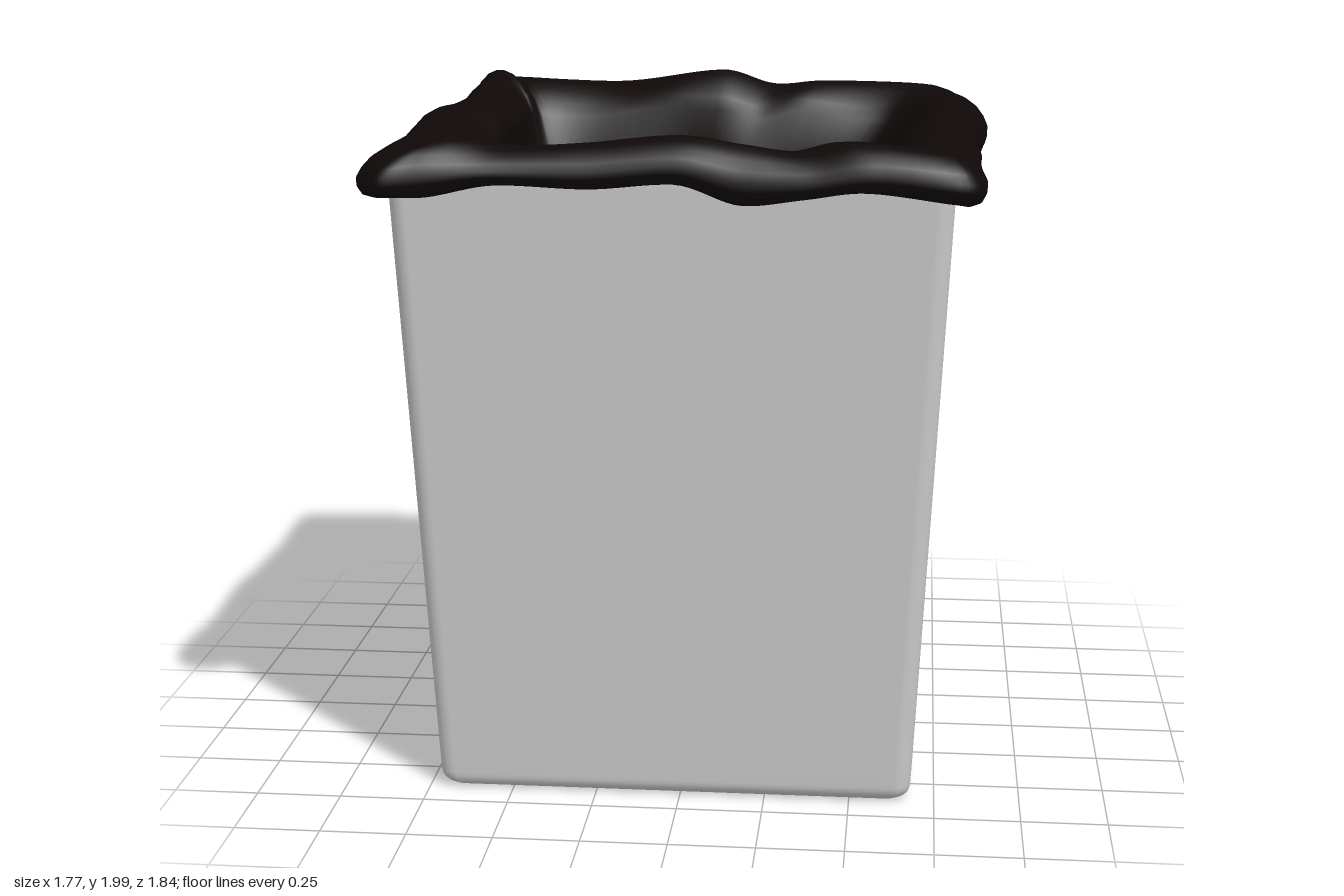
import * as THREE from 'three';

// Skins a list of closed rings (arrays of Vector3), given from first to last
function loft(rings) {
  const n = rings[0].length, pos = [], idx = [];
  rings.forEach(r => r.forEach(p => pos.push(p.x, p.y, p.z)));
  for (let j = 0; j < rings.length - 1; j++) {
    for (let i = 0; i < n; i++) {
      const a = j * n + i, b = j * n + (i + 1) % n;
      idx.push(a, a + n, b, b, a + n, b + n);
    }
  }
  const g = new THREE.BufferGeometry();
  g.setAttribute('position', new THREE.Float32BufferAttribute(pos, 3));
  g.setIndex(idx);
  g.computeVertexNormals();
  return g;
}

// Rounded square ring of half width h and corner radius r
function squareRing(h, r, y, steps = 6) {
  const pts = [];
  for (let c = 0; c < 4; c++) {
    const mid = (c + 0.5) * Math.PI / 2;
    const cx = Math.sign(Math.cos(mid)) * (h - r), cz = Math.sign(Math.sin(mid)) * (h - r);
    for (let k = 0; k <= steps; k++) {
      const a = (c + k / steps) * Math.PI / 2;
      pts.push(new THREE.Vector3(cx + r * Math.cos(a), y, cz + r * Math.sin(a)));
    }
  }
  return pts;
}

// Bin: flat base, rounded foot, tapering walls, rim, inside walls and floor
function makeBin() {
  const rings = [squareRing(0.001, 0.0005, 0), squareRing(0.6, 0.04, 0)];
  for (let k = 0; k <= 6; k++) {
    const a = k / 6 * Math.PI / 2;
    rings.push(squareRing(0.65 + 0.05 * Math.sin(a), 0.05, 0.05 - 0.05 * Math.cos(a)));
  }
  const profile = [[0.703, 0.1], [0.745, 0.95], [0.788, 1.82], [0.79, 1.86], [0.78, 1.87],
    [0.765, 1.87], [0.755, 1.86], [0.67, 0.09], [0.64, 0.06], [0.001, 0.06]];
  profile.forEach(([h, y]) => rings.push(squareRing(h, Math.min(0.05, h / 2), y)));
  return loft(rings);
}

// Around the folded hem: x, z, lower edge, crown height
const HEM = [
  [0.83, 0, 1.79, 1.94], [0.845, 0.2, 1.81, 1.93], [0.84, 0.5, 1.82, 1.92], [0.845, 0.78, 1.79, 1.93],
  [0.8, 0.835, 1.8, 1.94], [0.55, 0.85, 1.83, 1.96], [0.38, 0.845, 1.81, 1.93], [0.2, 0.84, 1.79, 1.95],
  [0, 0.835, 1.845, 1.97], [-0.25, 0.845, 1.83, 1.95], [-0.5, 0.86, 1.84, 1.94], [-0.7, 0.9, 1.81, 1.96],
  [-0.8, 0.915, 1.81, 1.94], [-0.87, 0.82, 1.8, 1.93], [-0.855, 0.4, 1.82, 1.94], [-0.885, 0.1, 1.72, 1.96],
  [-0.85, -0.2, 1.83, 1.95], [-0.85, -0.5, 1.79, 1.95], [-0.855, -0.82, 1.8, 1.965], [-0.82, -0.885, 1.8, 1.965],
  [-0.4, -0.92, 1.81, 1.95], [0, -0.89, 1.83, 1.995], [0.2, -0.9, 1.77, 1.95], [0.4, -0.91, 1.83, 1.96],
  [0.78, -0.905, 1.78, 1.95], [0.84, -0.8, 1.77, 1.94], [0.88, -0.5, 1.79, 1.945], [0.865, -0.3, 1.775, 1.93],
];

// Bag: hem hanging outside, crown over the rim, creased walls and a lumpy floor
function makeBag() {
  const N = 224;
  const outline = new THREE.CatmullRomCurve3(HEM.map(p => new THREE.Vector3(p[0], 0, p[1])), true);
  const heights = new THREE.CatmullRomCurve3(HEM.map(p => new THREE.Vector3(p[2], p[3], 0)), true);
  const samples = Array.from({ length: N }, (_, i) => {
    const p = outline.getPoint(i / N), h = heights.getPoint(i / N);
    return { p, bottom: h.x, top: h.y, a: Math.atan2(p.z, p.x) };
  });
  // Point on a soft square of the given half width, in line with an outline point
  const onSquare = (p, half) => half / Math.pow(Math.abs(p.x) ** 8 + Math.abs(p.z) ** 8, 1 / 8);

  // inset from the outline, share of the way from lower edge to crown
  const fold = [[0.085, 0.35], [0.06, 0.12], [0.035, 0], [0.012, 0.08], [0.001, 0.25], [0, 0.42],
    [0.012, 0.6], [0.032, 0.78], [0.06, 0.92], [0.09, 0.99], [0.115, 1], [0.15, 0.94], [0.19, 0.8],
    [0.225, 0.6], [0.25, 0.36]];
  const rings = fold.map(([inset, f]) => samples.map(({ p, bottom, top, a }) => {
    const s = 1 - inset / 0.87;
    const wave = inset > 0.1 ? (inset - 0.1) * 0.08 * Math.sin(a * 11 + inset * 14) : 0;
    return new THREE.Vector3(p.x * s, bottom + (top - bottom) * f + wave, p.z * s);
  }));

  // half width, height, crease depth, floor lump height, offset toward x
  const inside = [[0.605, 1.74, 0.012, 0, -0.02], [0.595, 1.6, 0.02, 0, -0.02], [0.585, 1.35, 0.025, 0, -0.01],
    [0.57, 1.05, 0.03, 0, 0.01], [0.55, 0.75, 0.03, 0, 0.03], [0.53, 0.5, 0.03, 0, 0.05],
    [0.505, 0.32, 0.025, 0, 0.065], [0.48, 0.23, 0.02, 0.01, 0.075], [0.43, 0.19, 0.015, 0.02, 0.075],
    [0.34, 0.18, 0.01, 0.025, 0.075], [0.23, 0.18, 0.01, 0.025, 0.075], [0.12, 0.18, 0, 0.025, 0.075],
    [0.001, 0.18, 0, 0.025, 0.075]];
  inside.forEach(([half, y, depth, lump, shift]) => {
    rings.push(samples.map(({ p, a }) => {
      const wave = Math.sin(a * 7 + y) * 0.6 + Math.sin(a * 12 - y * 2) * 0.4;
      const s = onSquare(p, half + depth * wave);
      const x = p.x * s + shift, z = p.z * s + shift * 0.5;
      return new THREE.Vector3(x, y + lump * (Math.sin(x * 11 + z * 4) + Math.cos(z * 13 - x * 3)), z);
    }));
  });
  return loft(rings);
}

export function createModel() {
  const group = new THREE.Group();
  group.name = 'linedWasteBin';

  const bin = new THREE.Mesh(makeBin(), new THREE.MeshStandardMaterial({ color: 0xcccccc }));
  bin.name = 'bin';
  bin.position.set(-0.02, 0, -0.04);
  group.add(bin);

  const bag = new THREE.Mesh(makeBag(),
    new THREE.MeshStandardMaterial({ color: 0x0f0808, side: THREE.DoubleSide }));
  bag.name = 'binBag';
  group.add(bag);
  return group;
}
